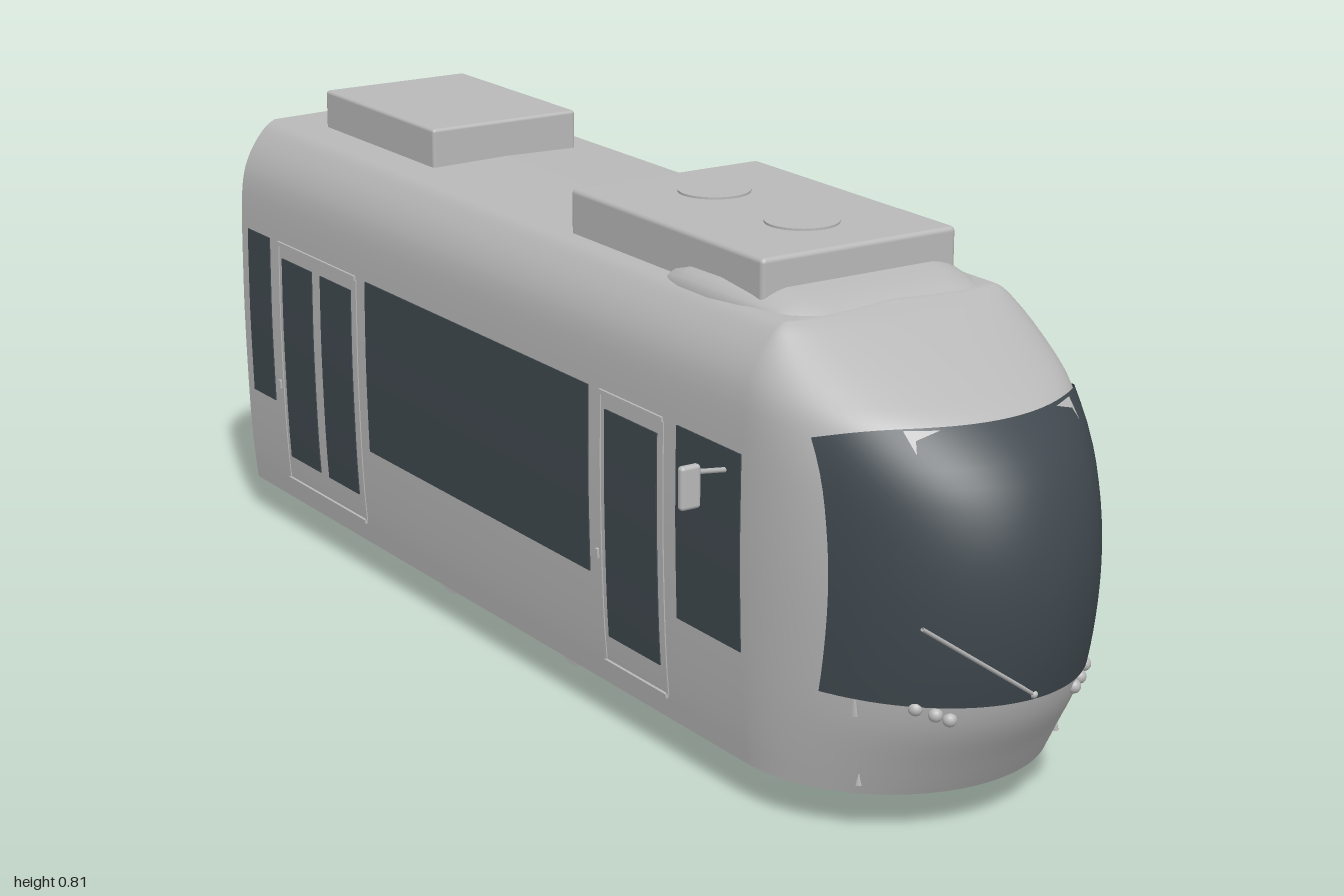
import * as THREE from 'three';
import { RoundedBoxGeometry } from 'three/addons/geometries/RoundedBoxGeometry.js';

const V = (x, y, z) => new THREE.Vector3(x, y, z);
const mat = (name, color) => Object.assign(new THREE.MeshStandardMaterial({ color, side: THREE.DoubleSide }), { name });

// Hull levels: height, half width, nose reach
const LEVELS = new THREE.CatmullRomCurve3([
  V(0.065, 0.25, 0.85), V(0.12, 0.256, 0.885), V(0.2, 0.261, 0.935), V(0.3, 0.264, 0.963),
  V(0.4, 0.2655, 0.972), V(0.48, 0.265, 0.962), V(0.55, 0.264, 0.935), V(0.6, 0.262, 0.895),
  V(0.63, 0.259, 0.86), V(0.66, 0.252, 0.8), V(0.69, 0.238, 0.735), V(0.715, 0.22, 0.68),
  V(0.73, 0.205, 0.645), V(0.738, 0.19, 0.62)]).getPoints(52);
LEVELS.push(V(0.742, 0, 0.61));
const REAR = -1, SHOULDER = 0.6, WALL = 0.012;

function level(y) {
  let i = 1;
  while (i < LEVELS.length - 1 && LEVELS[i].x < y) i++;
  const a = LEVELS[i - 1], b = LEVELS[i];
  const p = a.clone().lerp(b, THREE.MathUtils.clamp((y - a.x) / (b.x - a.x), 0, 1));
  return { w: p.y, n: p.z };
}
function noseZ(x, y) {
  const { w, n } = level(y);
  return SHOULDER + (n - SHOULDER) * Math.sqrt(Math.max(0, 1 - (x / w) ** 2));
}

// Plan outline of the hull at one height, from rear right round the nose to rear left
function outline(y, inset = 0) {
  const { w, n } = level(y), hw = Math.max(0, w - inset), pts = [];
  for (let i = 0; i < 8; i++) pts.push([hw, REAR + (SHOULDER - REAR) * i / 8]);
  for (let i = 0; i <= 40; i++) {
    const a = Math.PI * i / 40;
    pts.push([hw * Math.cos(a), SHOULDER + (n - inset - SHOULDER) * Math.sin(a)]);
  }
  for (let i = 7; i >= 0; i--) pts.push([-hw, REAR + (SHOULDER - REAR) * i / 8]);
  return pts;
}

// Surface from rows of points
function loft(rows) {
  const m = rows[0].length, index = [];
  for (let j = 0; j < rows.length - 1; j++) for (let i = 0; i < m - 1; i++) {
    const a = j * m + i, b = a + m;
    index.push(a, b, a + 1, a + 1, b, b + 1);
  }
  const g = new THREE.BufferGeometry();
  g.setAttribute('position', new THREE.Float32BufferAttribute(rows.flat(2), 3));
  g.setIndex(index);
  g.computeVertexNormals();
  return g;
}
const range = (n, f) => Array.from({ length: n + 1 }, (_, i) => f(i / n));

// Panel that follows the curve of the side wall
function wallPanel(side, z0, z1, y0, y1, inner, outer) {
  const g = new THREE.BoxGeometry(outer - inner, y1 - y0, z1 - z0, 1, 8, 1);
  g.translate((inner + outer) / 2, (y0 + y1) / 2, (z0 + z1) / 2);
  const p = g.attributes.position;
  for (let i = 0; i < p.count; i++) p.setX(i, p.getX(i) + level(p.getY(i)).w);
  if (side < 0) g.rotateY(Math.PI).scale(1, 1, -1), g.setIndex([...g.index.array].reverse());
  g.computeVertexNormals();
  return g;
}

function planShape(y, inset) {
  return new THREE.Shape(outline(y, inset).map(([x, z]) => new THREE.Vector2(x, z)));
}

export function createModel() {
  const model = new THREE.Group();
  model.name = 'tram';
  const grey = mat('bodyGrey', 0xb8b8b8), glass = mat('darkGlass', 0x40494f);
  const add = (name, geo, m = grey, pos) => {
    const mesh = new THREE.Mesh(geo, m);
    mesh.name = name;
    if (pos) mesh.position.set(...pos);
    model.add(mesh);
    return mesh;
  };
  const box = (name, x, y, z, w, h, d, m) => add(name, new THREE.BoxGeometry(w, h, d), m, [x, y, z]);
  const rod = (name, a, b, r) => add(name, new THREE.TubeGeometry(new THREE.LineCurve3(a, b), 1, r, 8));
  const axial = (name, r, len, x, y, z) => add(name, new THREE.CylinderGeometry(r, r, len, 24).rotateZ(Math.PI / 2), grey, [x, y, z]);

  // Hull, lining, floor and ceiling
  add('bodyShell', loft(LEVELS.map(l => outline(l.x).map(([x, z]) => [x, l.x, z]))));
  add('innerLining', loft(range(16, t => 0.075 + t * 0.455).map(y => outline(y, WALL).map(([x, z]) => [x, y, z]))));
  add('floor', new THREE.ExtrudeGeometry(planShape(0.065, 0), { depth: 0.013, bevelEnabled: false })
    .rotateX(Math.PI / 2), grey, [0, 0.078, 0]);
  add('ceiling', new THREE.ShapeGeometry(planShape(0.53, WALL)).rotateX(Math.PI / 2), grey, [0, 0.53, 0]);

  // Rear end frame with its open gangway
  const half = LEVELS.map(l => [l.y, l.x]);
  const rear = new THREE.Shape([...half, ...half.slice(0, -1).reverse().map(([x, y]) => [-x, y])].map(p => new THREE.Vector2(...p)));
  const hole = new THREE.Path(), r = 0.05, hw = 0.25, top = 0.525;
  hole.moveTo(-0.238, 0.078).lineTo(0.238, 0.078).lineTo(hw, 0.25).lineTo(hw, top - r);
  hole.quadraticCurveTo(hw, top, hw - r, top).lineTo(r - hw, top);
  hole.quadraticCurveTo(-hw, top, -hw, top - r).lineTo(-hw, 0.25).lineTo(-0.238, 0.078);
  rear.holes.push(hole);
  add('rearFrame', new THREE.ExtrudeGeometry(rear, { depth: 0.012, bevelEnabled: false }), grey, [0, 0, REAR]);

  // Windscreen, outside and inside faces
  const screen = (sx, dz) => loft(range(16, v => range(40, u => {
    const x = (u * 2 - 1) * 0.235, yTop = 0.628 - 0.022 * Math.abs(u * 2 - 1) ** 6;
    const y = 0.232 + v * (yTop - 0.232);
    return [x * sx, y, noseZ(x, y) + dz];
  })));
  add('windscreen', screen(1.008, 0.004), glass);
  add('windscreenInside', screen(0.93, -0.022), glass);

  // Roof units with fan rings
  add('frontRoofUnit', new RoundedBoxGeometry(0.356, 0.08, 0.525, 2, 0.008), grey, [0, 0.77, 0.2625]);
  add('rearRoofUnit', new RoundedBoxGeometry(0.284, 0.075, 0.39, 2, 0.006), grey, [0, 0.768, -0.695]);
  for (const z of [0.14, 0.375])
    add('roofFan', new THREE.CylinderGeometry(0.058, 0.058, 0.005, 32), grey, [0, 0.811, z]);

  // Fairing sweeping from the nose up to the front roof unit
  const ribs = [[0.66, 0.14, 0.675], [0.61, 0.17, 0.74], [0.56, 0.185, 0.756], [0.5, 0.195, 0.766], [0.42, 0.203, 0.772],
    [0.34, 0.203, 0.77], [0.3, 0.198, 0.757], [0.27, 0.185, 0.735]];
  add('roofFairing', loft(ribs.map(([z, w, h]) => range(24, t => {
    const c = Math.cos(t * Math.PI), s = Math.sin(t * Math.PI);
    const base = Math.min(0.725, h - 0.01);
    return [w * c, base + (h - base) * Math.min(1, s * 1.45) ** 0.8, z];
  }))));

  for (const s of [-1, 1]) {
    // Side windows and door glass
    for (const [z0, z1] of [[0.433, 0.6], [-0.53, 0.187], [-0.973, -0.888]])
      add('sideWindow', wallPanel(s, z0, z1, 0.245, 0.55, -0.015, 0.002), glass);
    for (const [z0, z1] of [[0.235, 0.38], [-0.695, -0.583], [-0.84, -0.727]])
      add('doorGlass', wallPanel(s, z0, z1, 0.15, 0.523, -0.015, 0.002), glass);
    // Door surrounds, sills and buttons
    for (const [z0, z1] of [[0.22, 0.395], [-0.855, -0.565]]) {
      add('doorHeader', wallPanel(s, z0, z1, 0.545, 0.552, 0, 0.004));
      add('doorSill', wallPanel(s, z0, z1, 0.1, 0.107, 0, 0.005));
      for (const z of [z0, z1]) add('doorPost', wallPanel(s, z - 0.003, z + 0.003, 0.107, 0.545, 0, 0.002));
      add('doorButton', wallPanel(s, z0 - 0.012, z0 - 0.004, 0.275, 0.29, 0, 0.005));
    }

    // Wing mirrors
    rod('mirrorArm', V(s * 0.258, 0.515, 0.56), V(s * 0.325, 0.527, 0.572), 0.004);
    add('wingMirror', new RoundedBoxGeometry(0.035, 0.067, 0.014, 3, 0.006), grey, [s * 0.338, 0.507, 0.575]);

    // Headlamps and small nose fittings
    for (const [x, y] of [[0.155, 0.228], [0.132, 0.219], [0.114, 0.211]])
      add('headlamp', new THREE.SphereGeometry(0.011, 16, 10), grey, [s * x, y, noseZ(x, y)]);
    for (const [x, y, h] of [[0.21, 0.228, 0.045], [0.184, 0.094, 0.02]])
      add('noseMarker', new THREE.ConeGeometry(0.006, h, 4), grey, [s * x, y, noseZ(x, y) + 0.003]);
    const bracket = [[0.105, 0.626], [0.15, 0.626], [0.147, 0.598], [0.141, 0.615]]
      .map(([x, y]) => [s * x, y, noseZ(x, y) + 0.012]);
    add('screenBracket', loft([[bracket[0], bracket[1]], [bracket[3], bracket[2]]]));

    // Wheels, flanges, brake discs and axle boxes, lower halves below the floor
    for (const z of [0, -0.4]) {
      for (const [name, rad, len, x] of [['wheel', 0.062, 0.024, 0.172], ['wheelFlange', 0.07, 0.008, 0.157], ['brakeDisc', 0.042, 0.01, 0.105]]) {
        const disc = new THREE.Shape();
        disc.absarc(0, 0, rad, Math.PI, Math.PI * 2, false);
        add(name, new THREE.ExtrudeGeometry(disc, { depth: len, bevelEnabled: false, curveSegments: 24 })
          .translate(0, 0, -len / 2).rotateY(Math.PI / 2), grey, [s * x, 0.07, z]);
      }
      box('axleBox', s * 0.193, 0.061, z, 0.018, 0.014, 0.05);
      // Seats over the wheels
      box('seatBase', s * 0.175, 0.14, z, 0.14, 0.124, 0.2);
      box('seatCushion', s * 0.175, 0.21, z, 0.13, 0.016, 0.22);
      box('seatBack', s * 0.175, 0.29, z, 0.13, 0.16, 0.016);
    }

    // Grab poles and rails
    for (const z of [-0.86, -0.56, 0.2, 0.4]) rod('grabPole', V(s * 0.21, 0.078, z), V(s * 0.21, 0.53, z), 0.004);
    rod('grabRail', V(s * 0.15, 0.47, -0.86), V(s * 0.15, 0.47, 0.4), 0.004);
    for (const z of [-0.86, -0.56, 0.2, 0.4]) rod('railHanger', V(s * 0.15, 0.47, z), V(s * 0.21, 0.47, z), 0.003);
  }

  // Axles and drive motors
  for (const z of [0, -0.4]) axial('axle', 0.008, 0.32, 0, 0.056, z);
  for (const z of [-0.1, -0.3]) axial('driveMotor', 0.017, 0.158, -0.014, 0.058, z);

  // Windscreen wiper
  rod('wiperArm', V(0, 0.24, 0.952), V(-0.24, 0.405, 0.998), 0.003);
  add('wiperPivot', new THREE.SphereGeometry(0.006, 12, 8), grey, [0, 0.24, 0.952]);
  return model;
}
